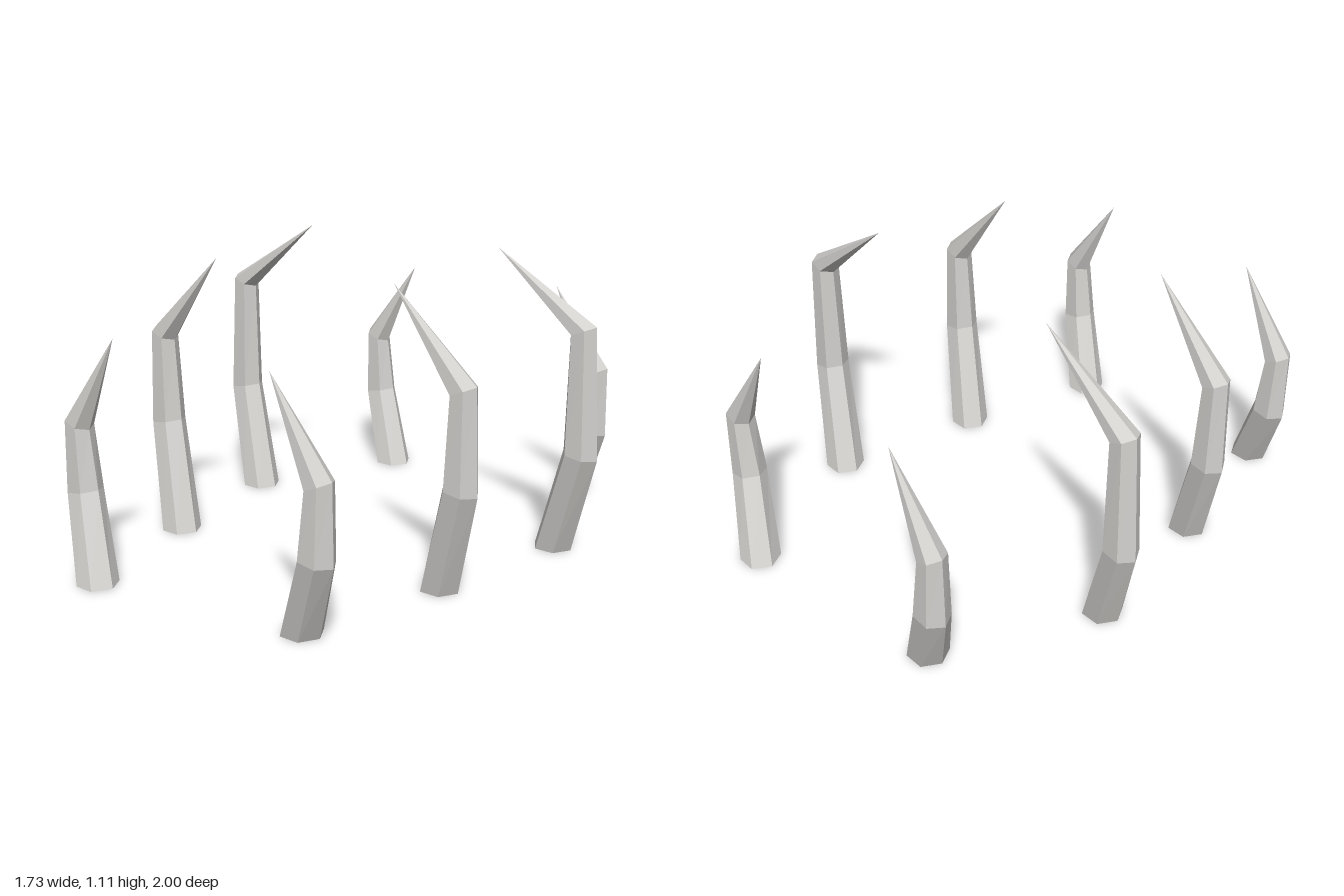
import * as THREE from 'three';

const SIDES = 6;
const bone = new THREE.MeshStandardMaterial({ color: 0xd2d0cd, flatShading: true, side: THREE.DoubleSide });
bone.name = 'pale bone grey';

// Six-sided ring around a centre; tilt makes the ring lean down along +x
function ring({ x, y, z = 0, r, rz = r, tilt = 0 }) {
  return Array.from({ length: SIDES }, (_, i) => {
    const a = (i / SIDES) * Math.PI * 2;
    const dx = r * Math.cos(a);
    return [x + dx, y + tilt * dx, z + rz * Math.sin(a)];
  });
}

// Tapered tube through the rings, ending in a point, open at the foot
function ribGeometry(sections, tip) {
  const rings = sections.map(ring);
  const pos = [];
  for (let s = 0; s < rings.length; s++) {
    const low = rings[s];
    const high = rings[s + 1];
    for (let i = 0; i < SIDES; i++) {
      const j = (i + 1) % SIDES;
      if (high) pos.push(...low[i], ...high[i], ...low[j], ...low[j], ...high[i], ...high[j]);
      else pos.push(...low[i], ...tip, ...low[j]);
    }
  }
  const geo = new THREE.BufferGeometry();
  geo.setAttribute('position', new THREE.Float32BufferAttribute(pos, 3));
  geo.computeVertexNormals();
  return geo;
}

// Rib for the -x side: foot, knee, bend and tip
function makeRib(foot, knee, bend, tip) {
  return ribGeometry([
    { x: foot, y: 0, z: 0.07, r: 0.075 },
    { x: knee[0], y: knee[1], r: 0.067, rz: 0.062, tilt: 0.16 },
    { x: bend[0], y: bend[1], r: 0.05, rz: 0.051, tilt: -0.4 },
  ], [tip[0], tip[1], 0]);
}

export function createModel() {
  const model = new THREE.Group();
  model.name = 'ribCage';

  const small = makeRib(-0.405, [-0.527, 0.3], [-0.54, 0.545], [-0.347, 0.87]);
  const medium = makeRib(-0.555, [-0.677, 0.4], [-0.682, 0.742], [-0.4, 1.06]);
  const large = makeRib(-0.665, [-0.799, 0.4], [-0.791, 0.85], [-0.432, 1.11]);

  const pairs = [
    ['front', small, 0.863],
    ['middleFront', medium, 0.305],
    ['middleBack', large, -0.277],
    ['back', small, -0.863],
  ];

  // Each opposite rib is the same one turned half round
  for (const [name, geo, z] of pairs) {
    for (const [side, turn] of [['Right', 0], ['Left', Math.PI]]) {
      const rib = new THREE.Mesh(geo, bone);
      rib.name = `${name}${side}Rib`;
      rib.position.z = z;
      rib.rotation.y = turn;
      model.add(rib);
    }
  }
  return model;
}
